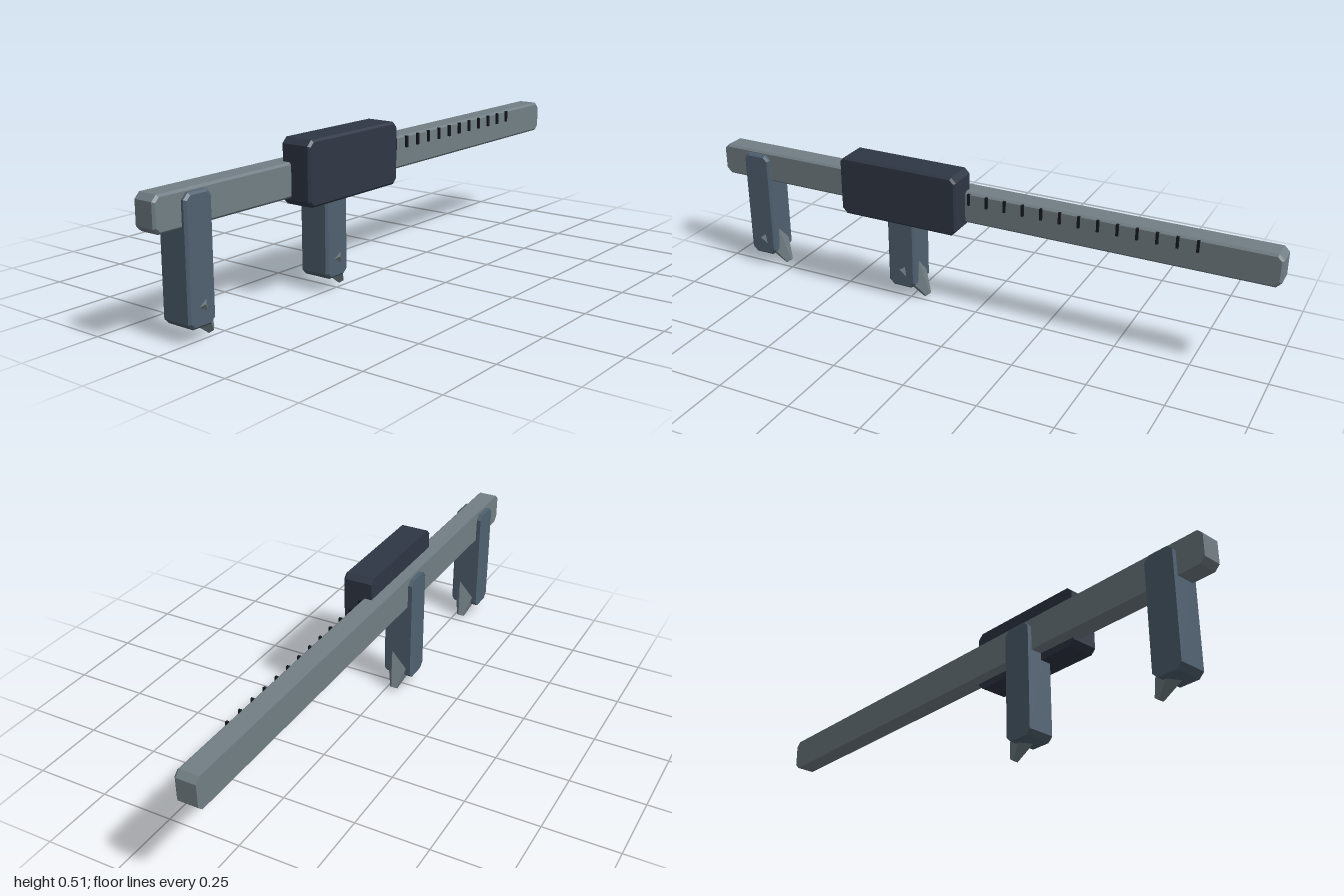
import * as THREE from 'three';

const material = (name, color) => {
  const m = new THREE.MeshStandardMaterial({ color });
  m.name = name;
  return m;
};

// Block with chamfered corners, a bevelled front edge and a flat back.
function chamferedBlock(x0, x1, y0, y1, z0, z1, corner = 0.016, bevel = 0.007) {
  const c = corner - bevel * 0.4;
  const l = x0 + bevel, r = x1 - bevel, b = y0 + bevel, t = y1 - bevel;
  const shape = new THREE.Shape([
    [l + c, b], [r - c, b], [r, b + c], [r, t - c],
    [r - c, t], [l + c, t], [l, t - c], [l, b + c],
  ].map(([x, y]) => new THREE.Vector2(x, y)));
  const geometry = new THREE.ExtrudeGeometry(shape, {
    depth: z1 - z0 - bevel, bevelEnabled: true, bevelSegments: 1,
    bevelSize: bevel, bevelThickness: bevel,
  });
  // Flatten the rear bevel so only the front edge is cut.
  const p = geometry.attributes.position;
  for (let i = 0; i < p.count; i++) p.setZ(i, Math.max(p.getZ(i), 0));
  geometry.translate(0, 0, z0);
  geometry.computeVertexNormals();
  return geometry;
}

export function createModel() {
  const model = new THREE.Group();
  model.name = 'caliper';
  const steel = material('steel grey', 0x727f85);
  const jawBlue = material('slate blue', 0x506171);
  const housing = material('dark housing', 0x2f3745);
  const ink = material('scale black', 0x15191e);

  const add = (name, geometry, mat, parent = model) => {
    const mesh = new THREE.Mesh(geometry, mat);
    mesh.name = name;
    parent.add(mesh);
    return mesh;
  };

  // Main beam and sliding housing
  add('beam', chamferedBlock(-1, 1, 0.336, 0.445, -0.063, 0.009), steel);
  add('slider', chamferedBlock(-0.465, -0.033, 0.313, 0.517, -0.023, 0.08), housing);

  // Two matching jaws, each with a slanted five-sided tip
  const jawGeometry = chamferedBlock(-0.051, 0.051, 0.047, 0.434, -0.078, 0.024);
  const tipLength = 0.13;
  const tipGeometry = new THREE.CylinderGeometry(0.063, 0.014, tipLength, 5).toNonIndexed();
  tipGeometry.translate(0, -tipLength / 2, 0);
  tipGeometry.computeVertexNormals();
  for (const [name, x] of [['fixedJaw', -0.853], ['slidingJaw', -0.2725]]) {
    const jaw = new THREE.Group();
    jaw.name = name;
    jaw.position.x = x;
    model.add(jaw);
    add('jawArm', jawGeometry, jawBlue, jaw);
    const tip = add('jawTip', tipGeometry, steel, jaw);
    tip.position.set(0, 0.117, -0.027);
    tip.rotation.z = 0.6;
  }

  // Scale marks along the upper front of the beam
  const markGeometry = new THREE.BoxGeometry(0.008, 0.039, 0.009);
  for (let i = 0; i < 13; i++) {
    add('scaleMark', markGeometry, ink).position.set(-0.019 + i * 0.0637, 0.4225, 0.0125);
  }
  return model;
}
